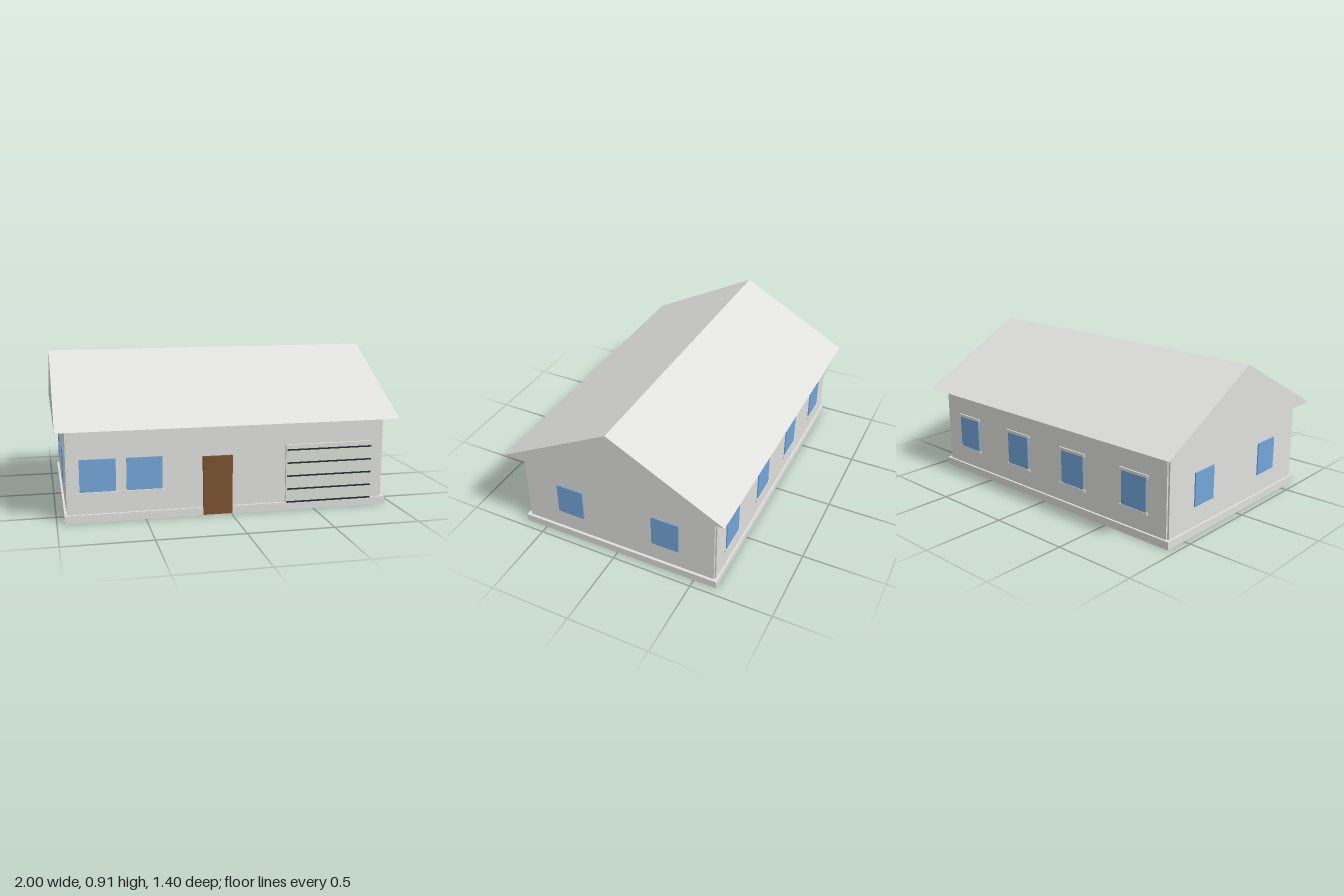
import * as THREE from 'three';

export function createModel() {
  const house = new THREE.Group();
  house.name = 'house';

  const mat = (name, color) => {
    const m = new THREE.MeshStandardMaterial({ color });
    m.name = name;
    return m;
  };
  const plaster = mat('plaster', 0xdfdfdd);
  const glass = mat('windowGlass', 0x73a5d8);
  const wood = mat('doorWood', 0x7b5230);
  const panel = mat('garagePanel', 0xdde0d8);
  const dark = mat('garageGroove', 0x222c32);

  // Box given by its minimum and maximum on each axis
  const box = (name, material, [x0, x1], [y0, y1], [z0, z1]) => {
    const mesh = new THREE.Mesh(new THREE.BoxGeometry(x1 - x0, y1 - y0, z1 - z0), material);
    mesh.position.set((x0 + x1) / 2, (y0 + y1) / 2, (z0 + z1) / 2);
    mesh.name = name;
    house.add(mesh);
    return mesh;
  };

  // Plinth, wall core and the slightly proud wall panels
  box('plinth', plaster, [-0.957, 0.95], [0, 0.047], [-0.64, 0.64]);
  box('wallCore', plaster, [-0.933, 0.922], [0.04, 0.535], [-0.617, 0.617]);
  box('frontWall', plaster, [-0.933, 0.922], [0.04, 0.526], [0.61, 0.627]);
  box('backWall', plaster, [-0.933, 0.922], [0.04, 0.526], [-0.627, -0.61]);
  box('rightWall', plaster, [-0.944, -0.925], [0.04, 0.526], [-0.617, 0.617]);
  box('leftWall', plaster, [0.915, 0.933], [0.04, 0.526], [-0.617, 0.617]);

  // Solid gable roof
  const gable = new THREE.Shape();
  gable.moveTo(-0.7, 0.533);
  gable.lineTo(0.7, 0.533);
  gable.lineTo(0, 0.907);
  gable.closePath();
  const roofGeometry = new THREE.ExtrudeGeometry(gable, { depth: 2, bevelEnabled: false });
  roofGeometry.translate(0, 0, -1);
  roofGeometry.rotateY(Math.PI / 2);
  const roof = new THREE.Mesh(roofGeometry, plaster);
  roof.name = 'roof';
  house.add(roof);

  // Front windows with sills
  for (const x of [-0.768, -0.504]) {
    box('frontWindow', glass, [x - 0.102, x + 0.102], [0.172, 0.362], [0.624, 0.632]);
    box('frontSill', plaster, [x - 0.117, x + 0.117], [0.16, 0.175], [0.62, 0.64]);
  }

  // Back windows with sills and lintels
  for (const x of [-0.705, -0.235, 0.235, 0.705]) {
    box('backWindow', glass, [x - 0.088, x + 0.088], [0.163, 0.372], [-0.633, -0.624]);
    box('backSill', plaster, [x - 0.103, x + 0.103], [0.15, 0.166], [-0.636, -0.62]);
    box('backLintel', plaster, [x - 0.103, x + 0.103], [0.369, 0.386], [-0.636, -0.62]);
  }

  // Two windows on each gable side
  for (const z of [-0.312, 0.312]) {
    box('leftWindow', glass, [0.932, 0.941], [0.168, 0.368], [z - 0.086, z + 0.086]);
    box('rightWindow', glass, [-0.951, -0.942], [0.168, 0.368], [z - 0.086, z + 0.086]);
  }

  // Front door, standing just proud of the plinth
  box('frontDoor', wood, [-0.168, 0.005], [0.004, 0.349], [0.62, 0.644]);

  // Garage door with dark grooves
  box('garageDoor', panel, [0.326, 0.853], [0.045, 0.394], [0.62, 0.642]);
  for (let i = 0; i < 5; i++) {
    const y = 0.05 + i * 0.0785;
    box('garageGroove', dark, [0.333, 0.853], [y - 0.004, y + 0.004], [0.639, 0.648]);
  }

  return house;
}
